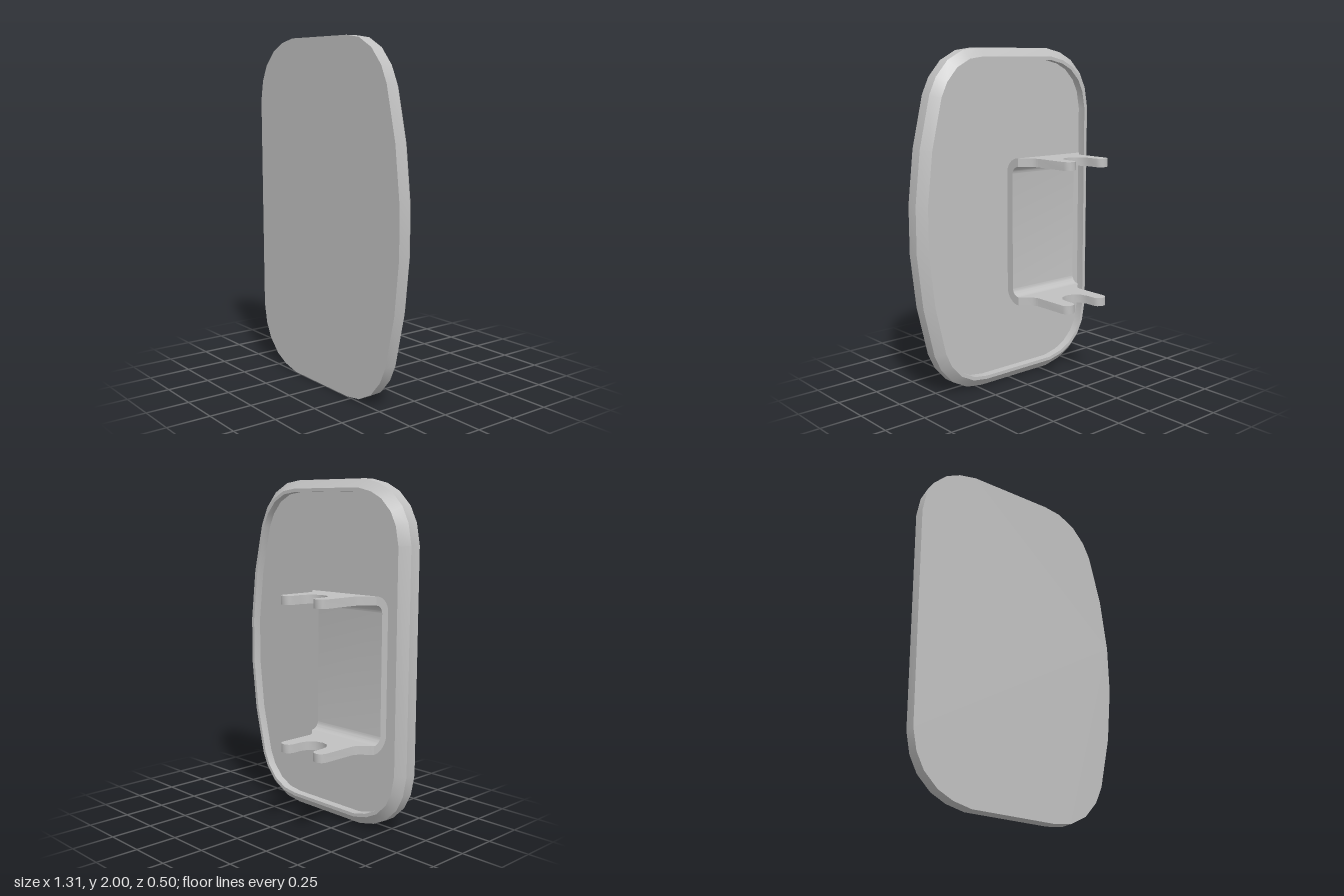
import * as THREE from 'three';
import { toCreasedNormals } from 'three/addons/utils/BufferGeometryUtils.js';

// Upper half of the panel outline, measured from mid height, left to right
const HALF = [
  [-0.658, 0.64], [-0.635, 0.76], [-0.59, 0.85], [-0.51, 0.93], [-0.42, 0.975], [-0.31, 1],
  [0.21, 1], [0.32, 0.985], [0.425, 0.93], [0.505, 0.84], [0.55, 0.745], [0.62, 0.45], [0.656, 0.14],
];

// Full outline, counter-clockwise seen from the front
function outline() {
  const upper = HALF.map(([x, y]) => new THREE.Vector2(x, 1 + y)).reverse();
  const lower = HALF.map(([x, y]) => new THREE.Vector2(x, 1 - y));
  return [...upper, ...lower];
}

// Mitred inward offset of a convex counter-clockwise outline
function inset(points, d) {
  const n = points.length;
  return points.map((p, i) => {
    const a = p.clone().sub(points[(i + n - 1) % n]).normalize();
    const b = points[(i + 1) % n].clone().sub(p).normalize();
    const na = new THREE.Vector2(-a.y, a.x);
    const nb = new THREE.Vector2(-b.y, b.x);
    const m = na.clone().add(nb).normalize();
    return p.clone().addScaledVector(m, d / m.dot(na));
  });
}

// Skin a run of [inset, z] rings from front to back and cap both ends
function panelGeometry(rings) {
  const base = outline();
  const n = base.length;
  const pos = [];
  const index = [];
  for (const [d, z] of rings) for (const p of inset(base, d)) pos.push(p.x, p.y, z);
  for (let r = 0; r < rings.length - 1; r++) {
    for (let i = 0; i < n; i++) {
      const a = r * n + i, b = r * n + (i + 1) % n;
      index.push(a, a + n, b, b, a + n, b + n);
    }
  }
  const last = (rings.length - 1) * n;
  for (let i = 1; i < n - 1; i++) {
    index.push(0, i, i + 1);
    index.push(last, last + i + 1, last + i);
  }
  const g = new THREE.BufferGeometry();
  g.setAttribute('position', new THREE.Float32BufferAttribute(pos, 3));
  g.setIndex(index);
  return toCreasedNormals(g, 0.6);
}

// Forked arm lying flat, its upper face at height top
function armGeometry(top, thick, zStart) {
  const side = [
    [0.25, zStart], [0.235, 0.07], [0.19, 0.028], [0.176, 0.008], [0.172, -0.005],
    [0.172, -0.22], [0.163, -0.24], [0.148, -0.252], [0.13, -0.255], [0.112, -0.252], [0.096, -0.24],
    [0.088, -0.22], [0.088, -0.16], [0.077, -0.117], [0.045, -0.084],
  ];
  const points = [...side, [0, -0.073], ...side.map(([x, z]) => [-x, z]).reverse()];
  const shape = new THREE.Shape(points.map(([x, z]) => new THREE.Vector2(x, z)));
  const g = new THREE.ExtrudeGeometry(shape, { depth: thick, bevelEnabled: false });
  g.rotateX(Math.PI / 2).translate(-0.25, top, 0);
  return toCreasedNormals(g, 0.6);
}

// Back of the bracket: a channel with rounded bends, extruded across x
function channelGeometry(low, high, thick, zStart) {
  const r = 0.05, R = r + thick;
  const s = new THREE.Shape();
  s.moveTo(zStart, low);
  s.absarc(zStart, low + R, R, -Math.PI / 2, 0, false);
  s.absarc(zStart, high - R, R, 0, Math.PI / 2, false);
  s.lineTo(zStart, high - thick);
  s.absarc(zStart, high - R, r, Math.PI / 2, 0, true);
  s.absarc(zStart, low + R, r, 0, -Math.PI / 2, true);
  s.closePath();
  const g = new THREE.ExtrudeGeometry(s, { depth: 0.5, bevelEnabled: false, curveSegments: 8 });
  g.rotateY(-Math.PI / 2);
  return toCreasedNormals(g, 0.6);
}

export function createModel() {
  const grey = new THREE.MeshStandardMaterial({ color: 0xc0c0c0 });
  grey.name = 'grey';
  const model = new THREE.Group();
  model.name = 'panelWithBracket';
  const add = (name, geometry, parent) => {
    const mesh = new THREE.Mesh(geometry, grey);
    mesh.name = name;
    parent.add(mesh);
  };

  // Panel: flat front, straight edge, back chamfer, narrow rim, shallow recess
  add('panel', panelGeometry([[0, 0.25], [0, 0.18], [0.05, 0.133], [0.07, 0.133], [0.07, 0.183]]), model);

  // Bracket: channel seated in the recess with two forked arms
  const low = 0.477, high = 1.365, thick = 0.05, zStart = 0.085;
  const bracket = new THREE.Group();
  bracket.name = 'bracket';
  add('bracketBack', channelGeometry(low, high, thick, zStart), bracket);
  add('upperArm', armGeometry(high, thick, zStart), bracket);
  add('lowerArm', armGeometry(low + thick, thick, zStart), bracket);
  model.add(bracket);
  return model;
}
